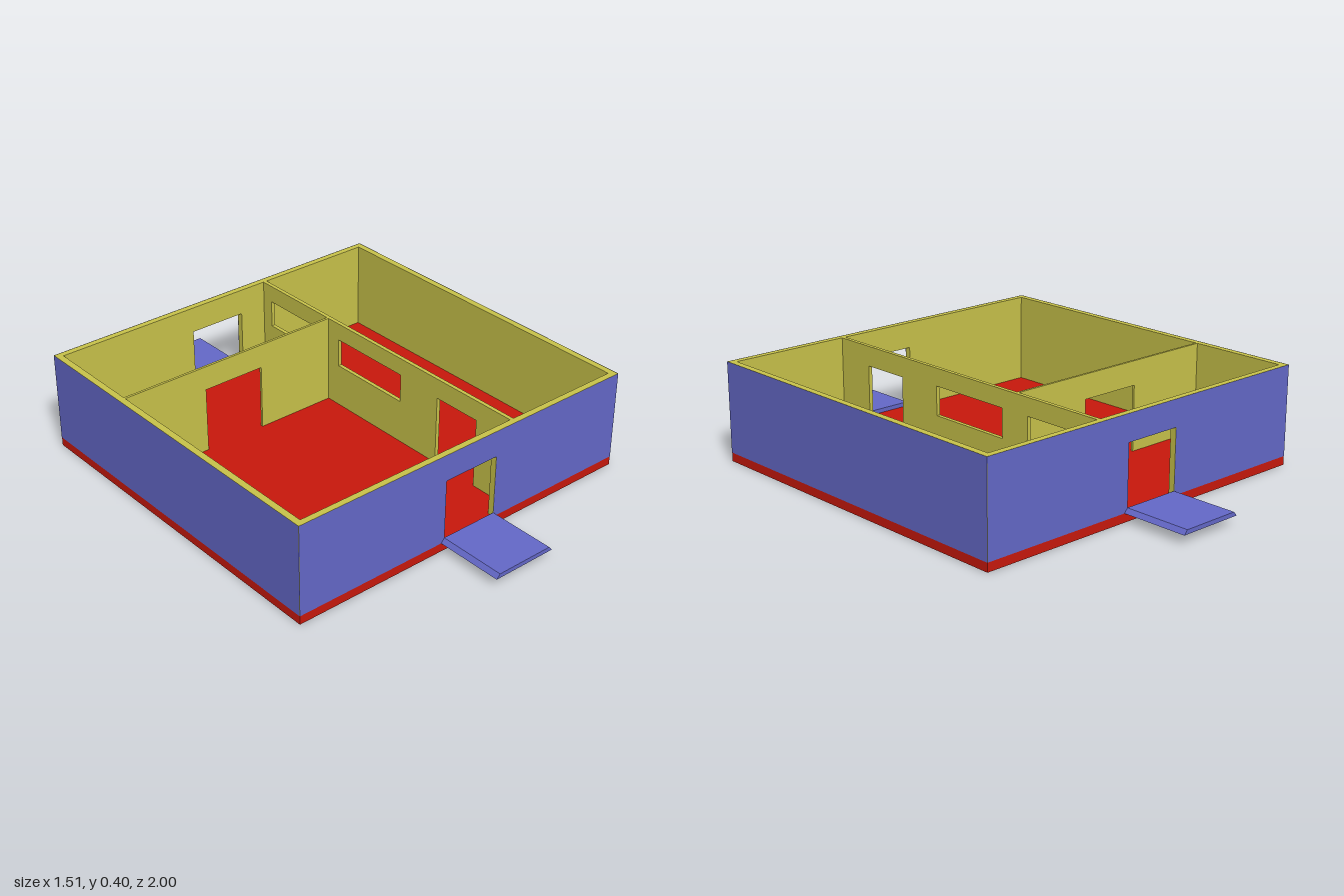
import * as THREE from 'three';

const FLOOR = 0.035, TOP = 0.395, HX = 0.755, HZ = 0.725;

const paint = (color) => new THREE.MeshStandardMaterial({ color, side: THREE.DoubleSide });

// Wall elevation: doors are notches [from, to, top], windows are holes [from, to, bottom, top]
function wallShape(from, to, doors = [], windows = []) {
  const s = new THREE.Shape();
  s.moveTo(from, FLOOR);
  for (const [a, b, h] of doors) {
    s.lineTo(a, FLOOR);
    s.lineTo(a, h);
    s.lineTo(b, h);
    s.lineTo(b, FLOOR);
  }
  s.lineTo(to, FLOOR);
  s.lineTo(to, TOP);
  s.lineTo(from, TOP);
  s.closePath();
  for (const [a, b, low, high] of windows) {
    const hole = new THREE.Path();
    hole.moveTo(a, low);
    hole.lineTo(a, high);
    hole.lineTo(b, high);
    hole.lineTo(b, low);
    hole.closePath();
    s.holes.push(hole);
  }
  return s;
}

const slab = (shape, depth) => new THREE.ExtrudeGeometry(shape, { depth, bevelEnabled: false });

export function createModel() {
  const model = new THREE.Group();
  const red = paint(0xc8180c), blue = paint(0x6468c8), yellow = paint(0xc8c24a);

  const add = (parent, name, geometry, material) => {
    const mesh = new THREE.Mesh(geometry, material);
    mesh.name = name;
    parent.add(mesh);
    return mesh;
  };

  // Floor slab
  const floor = add(model, 'floorSlab', new THREE.BoxGeometry(2 * HX, FLOOR, 2 * HZ), red);
  floor.position.y = FLOOR / 2;

  // Outer walls: yellow body with a blue outside face, local +z pointing outward
  const outerWall = (name, half, bodyHalf, distance, thickness, angle, doors) => {
    const wall = new THREE.Group();
    wall.name = name;
    wall.rotation.y = angle;
    const body = add(wall, 'wallBody', slab(wallShape(-bodyHalf, bodyHalf, doors), thickness), yellow);
    body.position.z = distance - thickness;
    const face = add(wall, 'outsideFace', new THREE.ShapeGeometry(wallShape(-half, half, doors)), blue);
    face.position.z = distance + 0.001;
    model.add(wall);
    return wall;
  };

  // Front and back walls match under a half turn, each with a doorway and an entrance step
  for (const [side, angle] of [['front', 0], ['back', Math.PI]]) {
    const wall = outerWall(side + 'Wall', HX, HX, HZ, 0.025, angle, [[-0.105, 0.135, 0.29]]);
    const profile = new THREE.Shape();
    profile.moveTo(-0.12, FLOOR);
    profile.lineTo(0.15, FLOOR);
    profile.lineTo(0.135, 0.052);
    profile.lineTo(-0.105, 0.052);
    profile.closePath();
    add(wall, 'entranceStep', slab(profile, 1 - HZ), blue).position.z = HZ;
  }
  outerWall('leftWall', HZ, HZ - 0.025, HX, 0.026, Math.PI / 2);
  outerWall('rightWall', HZ, HZ - 0.025, HX, 0.026, -Math.PI / 2);

  // Long partition with two windows and a doorway
  const partition = add(model, 'longPartition', slab(wallShape(-0.7, 0.7,
    [[0.33, 0.535, 0.315]],
    [[-0.65, -0.36, 0.215, 0.325], [-0.23, 0.13, 0.21, 0.325]]), 0.016), yellow);
  partition.rotation.y = -Math.PI / 2;
  partition.position.x = 0.236;

  // Thin cross partition with a doorway
  const cross = add(model, 'crossPartition',
    slab(wallShape(-0.729, 0.22, [[-0.375, -0.115, 0.298]]), 0.01), yellow);
  cross.position.z = -0.3;

  return model;
}
